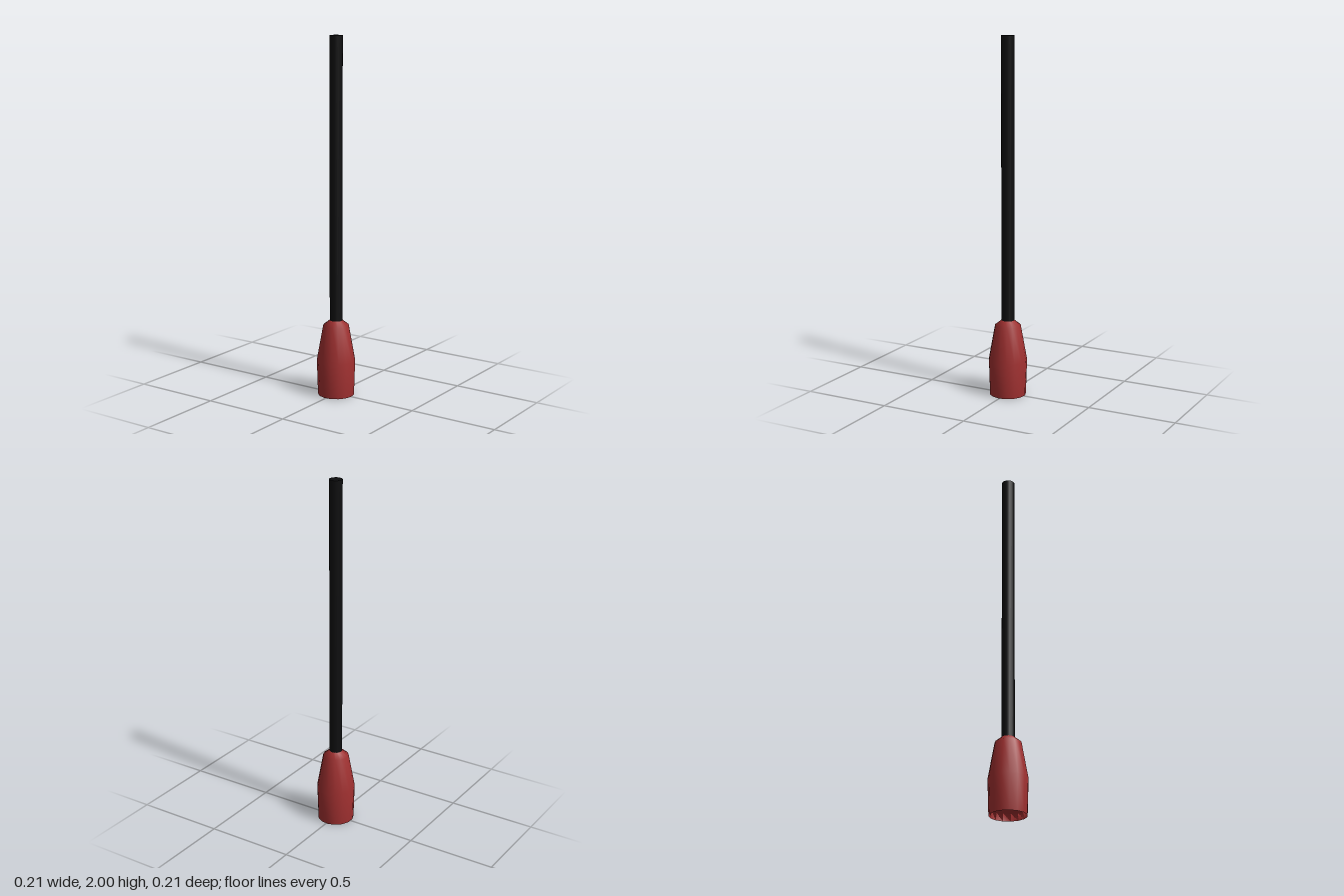
import * as THREE from 'three';

export function createModel() {
  const model = new THREE.Group();
  model.name = 'screwdriver';

  const red = new THREE.MeshStandardMaterial({ color: 0xa03030 });
  red.name = 'red grip';
  const black = new THREE.MeshStandardMaterial({ color: 0x0e0e0f });
  black.name = 'black shaft';

  // Tapered grip with a shallow hollow in its base: [radius, height]
  const profile = [
    [0, 0.04], [0.094, 0.04], [0.102, 0], [0.108, 0.2], [0.072, 0.4], [0.034, 0.43],
  ].map(([r, y]) => new THREE.Vector2(r, y));
  const grip = new THREE.Mesh(new THREE.LatheGeometry(profile, 15, Math.PI / 2), red);
  grip.name = 'grip';
  model.add(grip);

  // Long straight shaft, set a little into the grip
  const bottom = 0.4, top = 2;
  const shaft = new THREE.Mesh(new THREE.CylinderGeometry(0.036, 0.036, top - bottom, 16), black);
  shaft.name = 'shaft';
  shaft.position.y = (top + bottom) / 2;
  model.add(shaft);

  return model;
}
